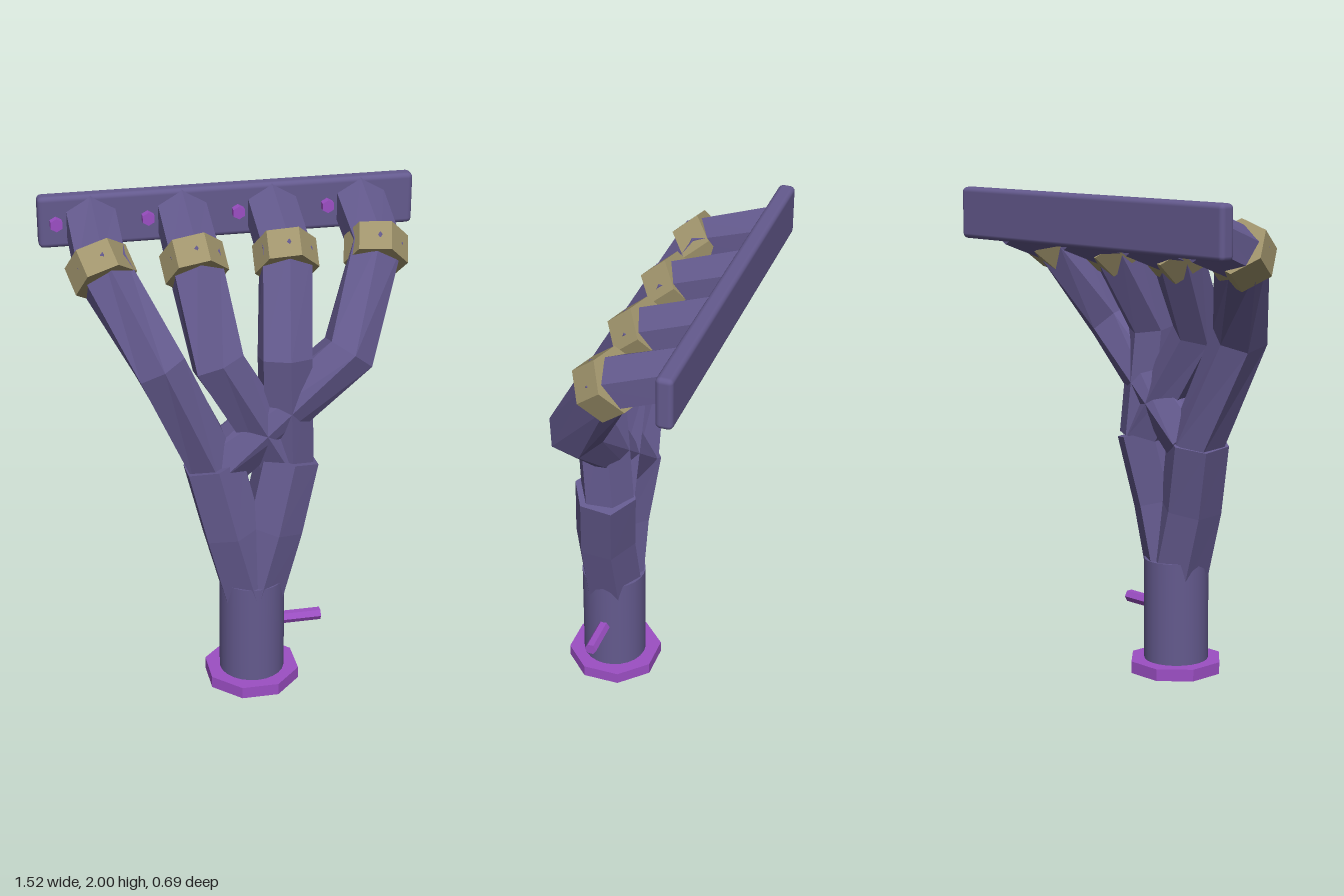
import * as THREE from 'three';
import { RoundedBoxGeometry } from 'three/addons/geometries/RoundedBoxGeometry.js';

const V = (x, y, z) => new THREE.Vector3(x, y, z);

function paint(name, color) {
  const m = new THREE.MeshStandardMaterial({ color });
  m.name = name;
  return m;
}

// Direction of a path at point i: the bisector of its two neighbouring segments
function tangentAt(path, i) {
  const t = V(0, 0, 0);
  if (i > 0) t.add(path[i].clone().sub(path[i - 1]).normalize());
  if (i < path.length - 1) t.add(path[i + 1].clone().sub(path[i]).normalize());
  return t.normalize();
}

// Closed, flat-faced six-sided pipe through the points of a path
function hexPipe(path, radius, phase = Math.PI / 6, startDir = null) {
  const rings = path.map((c, i) => {
    const t = i === 0 && startDir ? startDir : tangentAt(path, i);
    const side = V(1, 0, 0).addScaledVector(t, -t.x).normalize();
    const up = t.clone().cross(side);
    return Array.from({ length: 6 }, (_, k) => {
      const a = phase + (k * Math.PI) / 3;
      return c.clone().addScaledVector(side, radius * Math.cos(a)).addScaledVector(up, radius * Math.sin(a));
    });
  });
  const pts = [];
  const last = rings.length - 1;
  for (let j = 0; j < 6; j++) {
    const k = (j + 1) % 6;
    for (let i = 0; i < last; i++) {
      const a = rings[i], b = rings[i + 1];
      pts.push(a[j], a[k], b[k], a[j], b[k], b[j]);
    }
    pts.push(path[0], rings[0][k], rings[0][j]);
    pts.push(path[last], rings[last][j], rings[last][k]);
  }
  const g = new THREE.BufferGeometry().setFromPoints(pts);
  g.computeVertexNormals();
  return g;
}

// Flat-faced prism standing on the y axis
function prism(radius, height, sides, turn = 0) {
  const g = new THREE.CylinderGeometry(radius, radius, height, sides).rotateY(turn).toNonIndexed();
  g.computeVertexNormals();
  return g;
}

export function createModel() {
  const model = new THREE.Group();
  model.name = 'exhaustManifold';
  const steel = paint('violet steel', 0x645a8e);
  const brass = paint('dull brass', 0xa0946c);
  const purple = paint('bright purple', 0x9c4fc4);

  function add(name, geometry, material, x = 0, y = 0, z = 0) {
    const mesh = new THREE.Mesh(geometry, material);
    mesh.name = name;
    mesh.position.set(x, y, z);
    model.add(mesh);
  }

  // Mounting plate along the back
  add('mountingPlate', new RoundedBoxGeometry(1.516, 0.21, 0.067, 2, 0.02), steel, -0.003, 1.895, -0.313);

  // Four runners: top x, knee x, and the collector pipe each one joins
  const runners = [
    [-0.553, -0.36, -0.15],
    [-0.19, -0.135, 0.14],
    [0.173, 0.13, 0.15],
    [0.537, 0.385, -0.13],
  ];
  runners.forEach(([top, knee, end], i) => {
    const path = [
      V(top, 1.885, -0.29),
      V(top, 1.79, -0.03),
      V(knee, 1.44, 0.163),
      V(end, 0.985, 0.13),
    ];
    add('runner' + (i + 1), hexPipe(path, 0.112, Math.PI / 6, V(0, 0, 1)), steel);

    // Clamp band around the bend
    const t = tangentAt(path, 1);
    const c = path[1].clone().add(V(0, -0.005, 0));
    const ends = [c.clone().addScaledVector(t, -0.062), c.clone().addScaledVector(t, 0.062)];
    add('clamp' + (i + 1), hexPipe(ends, 0.126, 0.2), brass);

    // Plate bolt beside the runner
    add('bolt' + (i + 1), prism(0.027, 0.04, 6).rotateX(Math.PI / 2), purple, top - 0.14, 1.895, -0.268);
  });

  // Two collector pipes merging into the outlet
  for (const s of [-1, 1]) {
    const path = [V(s * 0.153, 1.0, 0.138), V(s * 0.083, 0.71, 0.168), V(0, 0.4, 0.168)];
    add(s < 0 ? 'rightCollector' : 'leftCollector', hexPipe(path, 0.13), steel);
  }

  // Outlet pipe, octagonal foot flange and sensor stub
  add('outletPipe', new THREE.CylinderGeometry(0.134, 0.134, 0.44, 24), steel, 0, 0.26, 0.165);
  add('outletFlange', prism(0.198, 0.05, 8, Math.PI / 8), purple, 0, 0.025, 0.163);
  add('sensorStub', prism(0.026, 0.19, 6).rotateZ(Math.PI / 2), purple, 0.195, 0.258, 0.165);

  return model;
}
